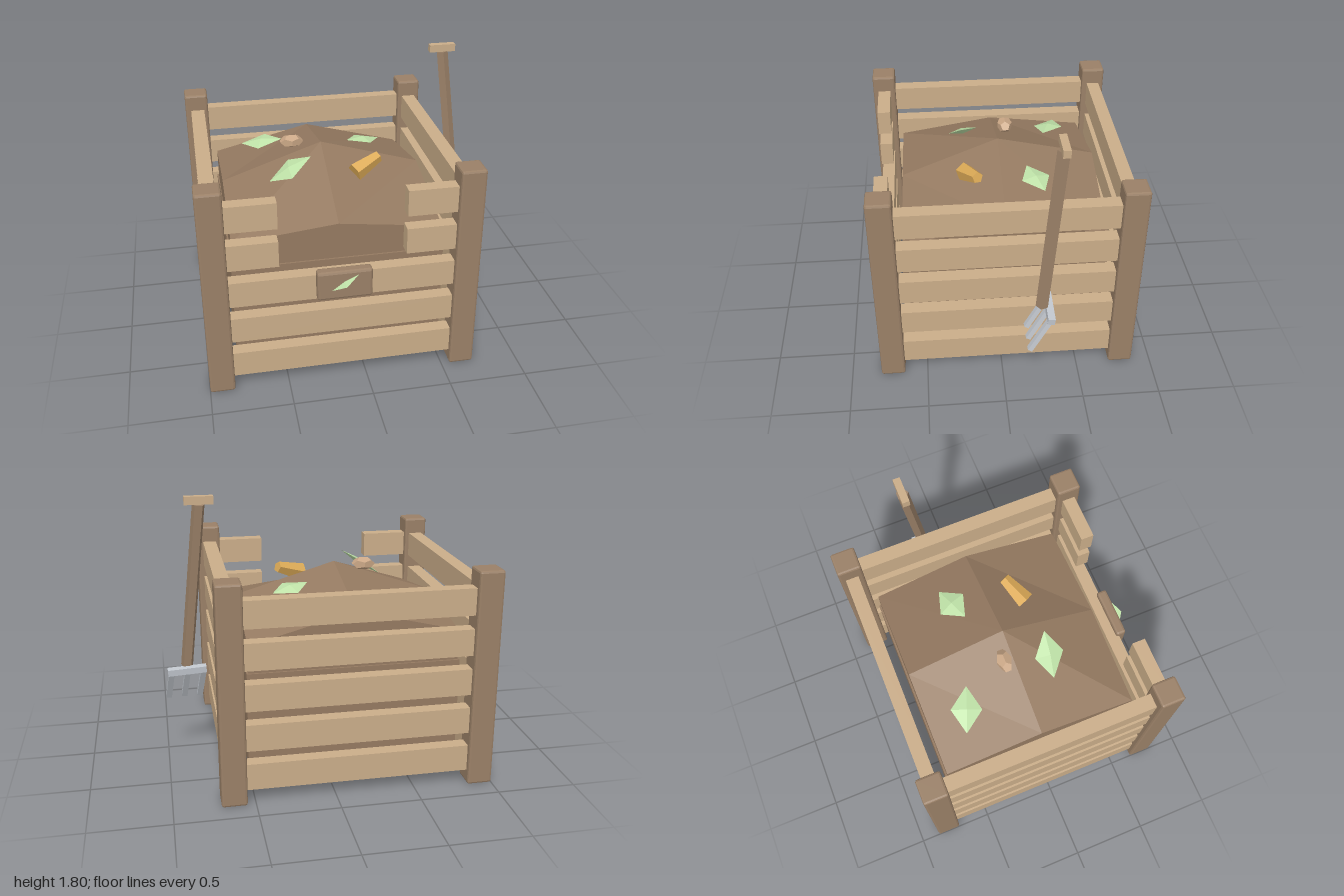
import * as THREE from 'three';
import { RoundedBoxGeometry } from 'three/addons/geometries/RoundedBoxGeometry.js';

const material = (name, color) => {
  const m = new THREE.MeshStandardMaterial({ color, flatShading: true });
  m.name = name;
  return m;
};

export function createModel() {
  const slatWood = material('light slat wood', 0xcaad89);
  const postWood = material('dark post wood', 0x9a8067);
  const soil = material('compost brown', 0x957a61);
  const leafGreen = material('leaf green', 0xbfe2a8);
  const peelYellow = material('peel ochre', 0xdcaa56);
  const shellTan = material('shell tan', 0xcaa786);
  const metal = material('fork metal', 0xc2c7ce);

  const model = new THREE.Group();
  model.name = 'compostBin';
  const add = (name, geometry, mat, x, y, z, parent = model) => {
    const mesh = new THREE.Mesh(geometry, mat);
    mesh.name = name;
    mesh.position.set(x, y, z);
    parent.add(mesh);
    return mesh;
  };
  // Places a mesh built along y so that it runs from a to b
  const span = (mesh, a, b) => {
    mesh.position.copy(a).add(b).multiplyScalar(0.5);
    mesh.quaternion.setFromUnitVectors(new THREE.Vector3(0, 1, 0), b.clone().sub(a).normalize());
    return mesh;
  };
  const v = (x, y, z) => new THREE.Vector3(x, y, z);

  // Bin, built around its own centre
  const bin = new THREE.Group();
  bin.name = 'bin';
  bin.position.set(-0.145, 0, -0.035);
  model.add(bin);
  const hx = 0.776, hz = 0.762;

  // Corner posts
  for (const sx of [-1, 1]) for (const sz of [-1, 1]) {
    add('cornerPost', new RoundedBoxGeometry(0.158, 1.395, 0.158, 1, 0.014), postWood, sx * hx, 0.6975, sz * hz, bin);
  }

  // Slats: five rows, the top two at the front cut short for the opening
  for (let i = 0; i < 5; i++) {
    const y = 0.172 + i * 0.257, h = 0.17;
    for (const s of [-1, 1]) {
      add('sideSlat', new THREE.BoxGeometry(0.092, h, 2 * hz - 0.1), slatWood, s * (hx - 0.005), y, 0, bin);
      if (i > 2) add('frontStubSlat', new THREE.BoxGeometry(0.36, h, 0.086), slatWood, s * 0.569, y, hz, bin);
    }
    add('backSlat', new THREE.BoxGeometry(2 * hx - 0.1, h, 0.086), slatWood, 0, y, -hz, bin);
    if (i < 3) add('frontSlat', new THREE.BoxGeometry(2 * hx - 0.1, h, 0.086), slatWood, 0, y, hz, bin);
  }

  // Compost block and the mound on top of it
  add('compostBody', new THREE.BoxGeometry(1.334, 0.605, 1.315), soil, 0, 0.4775, 0, bin);
  const mound = new THREE.BoxGeometry(1.312, 1, 1.29, 2, 1, 2);
  const heights = [[0.975, 1.134, 0.955], [1.054, 1.279, 1.084], [0.949, 1.019, 0.934]]; // back to front
  const p = mound.attributes.position;
  for (let i = 0; i < p.count; i++) {
    const col = Math.sign(Math.round(p.getX(i) * 10)) + 1;
    const row = Math.sign(Math.round(p.getZ(i) * 10)) + 1;
    p.setY(i, p.getY(i) > 0 ? heights[row][col] : 0.75);
  }
  mound.computeVertexNormals();
  add('compostMound', mound, soil, 0, 0, 0, bin);

  // Leaves: flattened octahedra
  const leaf = (name, pos, size, rx, ry, rz) => {
    const m = add(name, new THREE.OctahedronGeometry(1), leafGreen, ...pos);
    m.scale.set(...size);
    m.rotation.set(rx, ry, rz, 'YXZ');
  };
  leaf('backLeaf', [-0.5, 1.14, -0.425], [0.148, 0.02, 0.1], 0.12, -0.34, 0.2);
  leaf('rightLeaf', [0.185, 1.175, -0.256], [0.13, 0.02, 0.1], -0.08, 0.38, -0.15);
  leaf('frontLeaf', [-0.38, 1.207, 0.188], [0.158, 0.02, 0.1], 0.2, 0, 0.58);

  // Food scraps
  const peel = add('peelScrap', new THREE.CylinderGeometry(0.038, 0.062, 0.2, 5), peelYellow, 0, 0, 0);
  span(peel, v(0.035, 1.15, 0.2), v(0.21, 1.215, 0.12));
  const shell = add('shellScrap', new THREE.DodecahedronGeometry(1, 0), shellTan, -0.33, 1.272, -0.1);
  shell.scale.set(0.08, 0.044, 0.053);

  // Front plaque with a leaf emblem standing out from it
  add('plaque', new RoundedBoxGeometry(0.342, 0.195, 0.07, 1, 0.016), postWood, -0.144, 0.71, 0.785);
  leaf('plaqueLeaf', [-0.144, 0.728, 0.808], [0.118, 0.012, 0.065], 0, 0, 0.54);

  // Garden fork leaning at the side
  const fork = new THREE.Group();
  fork.name = 'gardenFork';
  model.add(fork);
  const top = v(0.747, 1.745, -0.331), bottom = v(0.855, 0.685, -0.227);
  const handle = add('forkHandle', new THREE.CylinderGeometry(0.04, 0.04, top.distanceTo(bottom), 5), postWood, 0, 0, 0, fork);
  span(handle, bottom, top);
  add('forkGrip', new THREE.BoxGeometry(0.176, 0.05, 0.046), slatWood, 0.746, 1.772, -0.333, fork);
  const bar = add('forkBar', new THREE.BoxGeometry(0.245, 0.042, 0.045), metal, 0.857, 0.668, -0.272, fork);
  bar.rotation.set(-0.1, 0, -0.06);
  for (let i = 0; i < 3; i++) {
    const a = v(0.752 + i * 0.101, 0.672, -0.275), b = v(0.778 + i * 0.101, 0.445, -0.142);
    const tine = add('forkTine', new THREE.BoxGeometry(0.036, a.distanceTo(b), 0.03), metal, 0, 0, 0, fork);
    span(tine, b, a);
  }
  return model;
}
